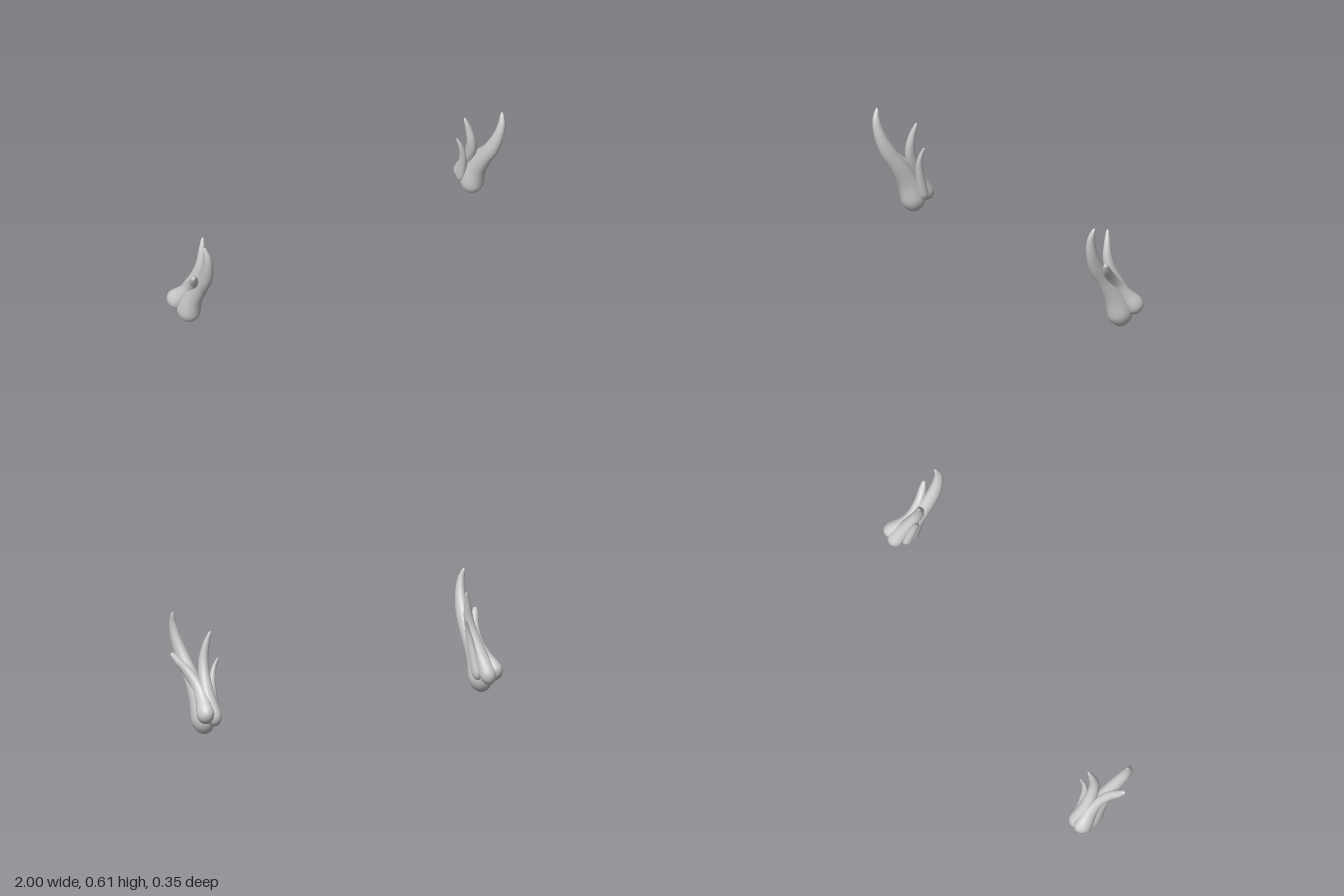
import * as THREE from 'three';

const RINGS = 56, SIDES = 28;

// Each horn: [x, y, z, half width across x, half width in the side plane], base to tip
const HORNS = {
  mainHorn: [
    [.905, .003, -.075, .06, .068], [.905, .09, -.055, .06, .068], [.905, .18, -.02, .048, .056],
    [.905, .28, .04, .038, .045], [.915, .38, .102, .033, .04], [.928, .47, .138, .027, .03],
    [.94, .55, .15, .018, .021], [.952, .612, .137, .008, .007]],
  outerHorn: [
    [.943, .075, -.15, .043, .051], [.94, .12, -.12, .043, .051], [.925, .17, -.08, .036, .043],
    [.917, .24, -.025, .028, .035], [.938, .32, .035, .025, .027], [.97, .37, .073, .02, .02],
    [.992, .41, .097, .01, .01]],
  innerHorn: [
    [.895, .055, -.153, .042, .043], [.895, .11, -.127, .042, .043], [.89, .2, -.08, .035, .033],
    [.875, .31, -.025, .028, .031], [.865, .38, -.01, .024, .026], [.852, .46, -.016, .017, .017],
    [.836, .525, -.03, .007, .006]],
  smallHorn: [
    [.858, .075, -.1, .024, .027], [.855, .12, -.085, .024, .027], [.85, .2, -.065, .022, .024],
    [.84, .28, -.05, .017, .018], [.825, .34, -.048, .012, .011], [.807, .389, -.058, .005, .004]],
};

// Loft of elliptical rings along a curve, rounded at both ends
function hornGeometry(points, mirror) {
  const path = new THREE.CatmullRomCurve3(
    points.map(p => new THREE.Vector3(p[0] * mirror, p[1], p[2])));
  const widths = new THREE.CatmullRomCurve3(
    points.map((p, i) => new THREE.Vector3(p[3], p[4], i * .05)));
  const baseCap = 1 / (points.length - 1), tipCap = .04;
  const positions = [], index = [];
  const side = new THREE.Vector3(), depth = new THREE.Vector3();

  for (let i = 0; i <= RINGS; i++) {
    const u = (1 - Math.cos(Math.PI * i / RINGS)) / 2;
    const center = path.getPoint(u), tangent = path.getTangent(u), w = widths.getPoint(u);
    side.set(1, 0, 0).addScaledVector(tangent, -tangent.x).normalize();
    depth.crossVectors(tangent, side);
    const k = Math.min(1, u / baseCap, (1 - u) / tipCap);
    const round = Math.sqrt(Math.max(0, 1 - (1 - k) ** 2));
    for (let j = 0; j < SIDES; j++) {
      const a = j / SIDES * Math.PI * 2;
      const v = center.clone()
        .addScaledVector(side, Math.cos(a) * w.x * round)
        .addScaledVector(depth, Math.sin(a) * w.y * round);
      positions.push(v.x, v.y, v.z);
      if (i < RINGS) {
        const p = i * SIDES + j, q = i * SIDES + (j + 1) % SIDES;
        index.push(p, q, p + SIDES, q, q + SIDES, p + SIDES);
      }
    }
  }
  const geometry = new THREE.BufferGeometry();
  geometry.setAttribute('position', new THREE.Float32BufferAttribute(positions, 3));
  geometry.setIndex(index);
  geometry.computeVertexNormals();
  return geometry;
}

export function createModel() {
  const model = new THREE.Group();
  model.name = 'hornPair';
  const material = new THREE.MeshStandardMaterial({ color: 0xcccccc });

  // One cluster of four horns on each side
  for (const [sideName, mirror] of [['left', 1], ['right', -1]]) {
    const cluster = new THREE.Group();
    cluster.name = sideName + 'HornCluster';
    for (const [name, points] of Object.entries(HORNS)) {
      const horn = new THREE.Mesh(hornGeometry(points, mirror), material);
      horn.name = name;
      cluster.add(horn);
    }
    model.add(cluster);
  }
  return model;
}
